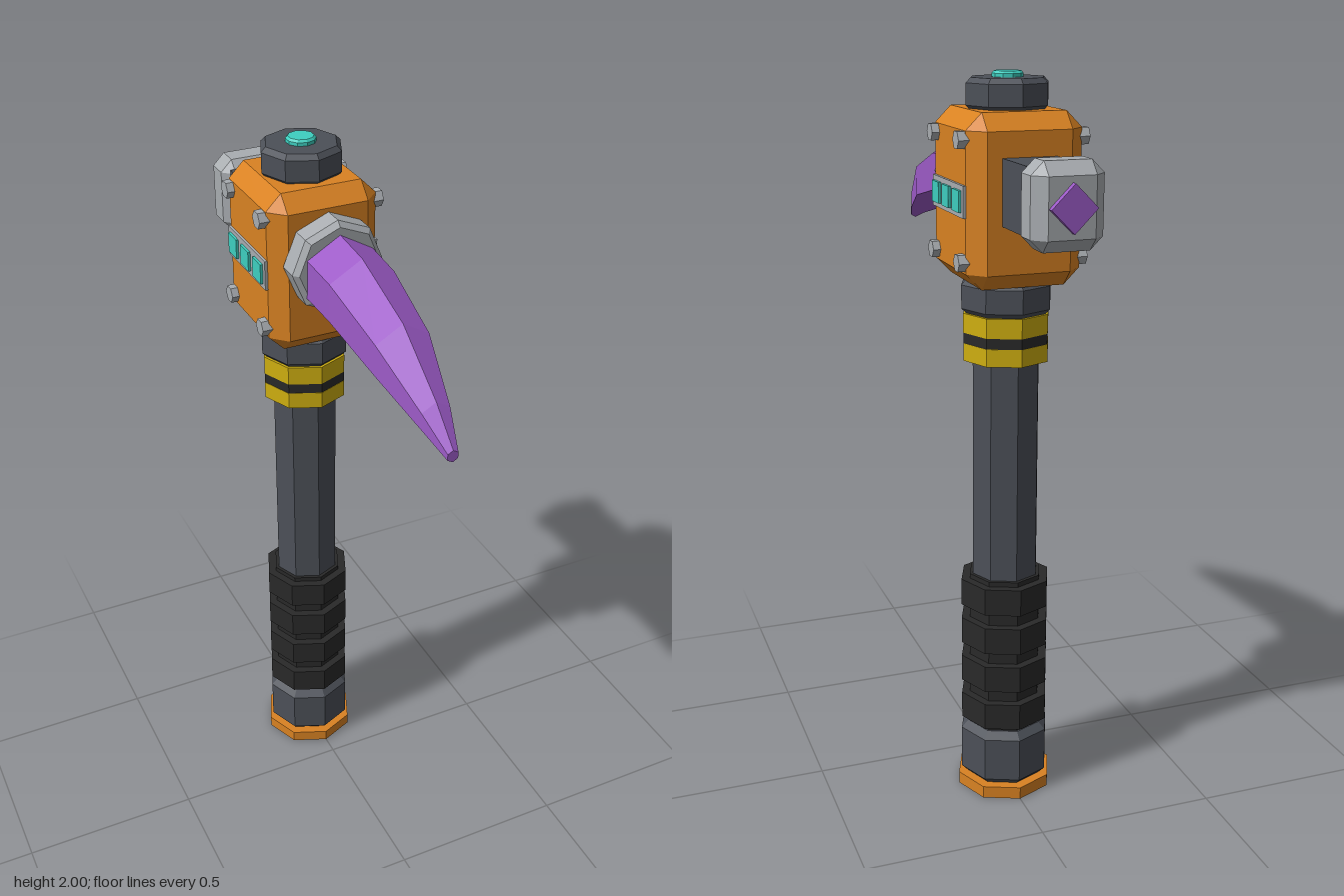
import * as THREE from 'three';
import { ConvexGeometry } from 'three/addons/geometries/ConvexGeometry.js';

const mat = (name, color) => {
  const m = new THREE.MeshStandardMaterial({ color, flatShading: true });
  m.name = name;
  return m;
};

// Box with every edge and corner cut by c
function chamferBox(w, h, d, c) {
  const pts = [];
  for (const sx of [-1, 1]) for (const sy of [-1, 1]) for (const sz of [-1, 1]) {
    const x = w / 2, y = h / 2, z = d / 2;
    pts.push(
      new THREE.Vector3(sx * x, sy * (y - c), sz * (z - c)),
      new THREE.Vector3(sx * (x - c), sy * y, sz * (z - c)),
      new THREE.Vector3(sx * (x - c), sy * (y - c), sz * z));
  }
  return new ConvexGeometry(pts);
}

// Faceted drum from y0 to y1, with chamfers b (bottom) and t (top)
function drum(r, y0, y1, b = 0, t = 0, sides = 8) {
  const p = [[0, y0], [r - b, y0]];
  if (b) p.push([r, y0 + b]);
  if (t) p.push([r, y1 - t]);
  p.push([r - t, y1], [0, y1]);
  return new THREE.LatheGeometry(p.map(([x, y]) => new THREE.Vector2(x, y)), sides);
}

// Curved spike lofted through hexagonal rings [z, centre y, radius]
function spikeGeometry() {
  const rings = [[-0.02, 1.72, 0.105], [0.04, 1.72, 0.104], [0.165, 1.712, 0.101],
    [0.38, 1.659, 0.082], [0.55, 1.58, 0.043], [0.637, 1.527, 0.016]];
  const n = 6, pos = [], idx = [];
  for (const [z, y, r] of rings) for (let k = 0; k < n; k++) {
    const a = k / n * Math.PI * 2;
    pos.push(r * Math.sin(a), y + r * Math.cos(a), z);
  }
  for (let i = 0; i < rings.length - 1; i++) for (let k = 0; k < n; k++) {
    const A = i * n + k, B = i * n + (k + 1) % n, D = A + n, C = B + n;
    idx.push(A, D, B, D, C, B);
  }
  const last = (rings.length - 1) * n;
  for (let k = 1; k < n - 1; k++) idx.push(last, last + k + 1, last + k);
  const g = new THREE.BufferGeometry();
  g.setAttribute('position', new THREE.Float32BufferAttribute(pos, 3));
  g.setIndex(idx);
  g.computeVertexNormals();
  return g;
}

export function createModel() {
  const orange = mat('orange paint', 0xd98222);
  const steel = mat('dark steel', 0x4c5058);
  const rubber = mat('black rubber', 0x292929);
  const yellow = mat('yellow paint', 0xceae10);
  const silver = mat('silver metal', 0xa9adb1);
  const purple = mat('purple crystal', 0x9d5bc8);
  const teal = mat('teal glow', 0x3ecfc0);

  const model = new THREE.Group();
  model.name = 'pickHammer';
  const AXIS = -0.19; // z of the handle axis
  const add = (name, geo, material, x = 0, y = 0, z = AXIS) => {
    const m = new THREE.Mesh(geo, material);
    m.name = name;
    m.position.set(x, y, z);
    model.add(m);
    return m;
  };

  // Handle, from the bottom up
  add('basePlate', drum(0.137, 0, 0.035), orange);
  add('pommel', drum(0.128, 0.035, 0.2, 0.02, 0.02), steel);
  add('shaft', drum(0.093, 0.19, 1.4), steel);
  add('gripCore', drum(0.103, 0.195, 0.655), rubber);
  for (let i = 0; i < 4; i++) {
    const y = 0.254 + i * 0.1165;
    add('gripRing', drum(0.127, y - 0.038, y + 0.038), rubber);
  }
  add('lowerYellowBand', drum(0.119, 1.265, 1.312), yellow);
  add('blackBand', drum(0.118, 1.312, 1.34), rubber);
  add('upperYellowBand', drum(0.119, 1.34, 1.392), yellow);
  add('neckCollar', drum(0.124, 1.392, 1.48, 0.013, 0.013), steel);

  // Head block with cap and top light
  add('headBlock', chamferBox(0.304, 0.434, 0.327, 0.042), orange, 0, 1.693);
  add('topCap', drum(0.11, 1.905, 1.985, 0.013, 0.013), steel);
  add('topLight', drum(0.04, 1.98, 2, 0, 0.006, 10), teal);

  // Front spike and its collar
  const ring = add('spikeCollar', drum(0.125, 0, 0.07, 0, 0.014), silver, 0, 1.733, -0.028);
  ring.rotation.x = Math.PI / 2;
  add('spike', spikeGeometry(), purple, 0, 0, 0);

  // Rear hammer
  add('hammerNeck', new THREE.BoxGeometry(0.143, 0.165, 0.17), steel, 0, 1.722, -0.425);
  add('hammerHead', chamferBox(0.182, 0.21, 0.122, 0.032), silver, 0, 1.72, -0.561);
  const gem = add('hammerGem', new THREE.BoxGeometry(0.082, 0.082, 0.03), purple, 0, 1.72, -0.623);
  gem.rotation.z = Math.PI / 4;

  // Side panels, lights and bolts, mirrored
  for (const s of [-1, 1]) {
    add('sidePanel', new THREE.BoxGeometry(0.016, 0.08, 0.245), silver, s * 0.151, 1.697);
    for (const dz of [-0.082, 0, 0.082]) {
      add('panelLight', new THREE.BoxGeometry(0.018, 0.054, 0.054), teal, s * 0.157, 1.697, AXIS + dz);
    }
    for (const dz of [-0.106, 0.106]) for (const y of [1.546, 1.846]) {
      const bolt = add('bolt', new THREE.CylinderGeometry(0.024, 0.024, 0.036, 6), silver, s * 0.154, y, AXIS + dz);
      bolt.rotation.z = Math.PI / 2;
    }
  }
  return model;
}
